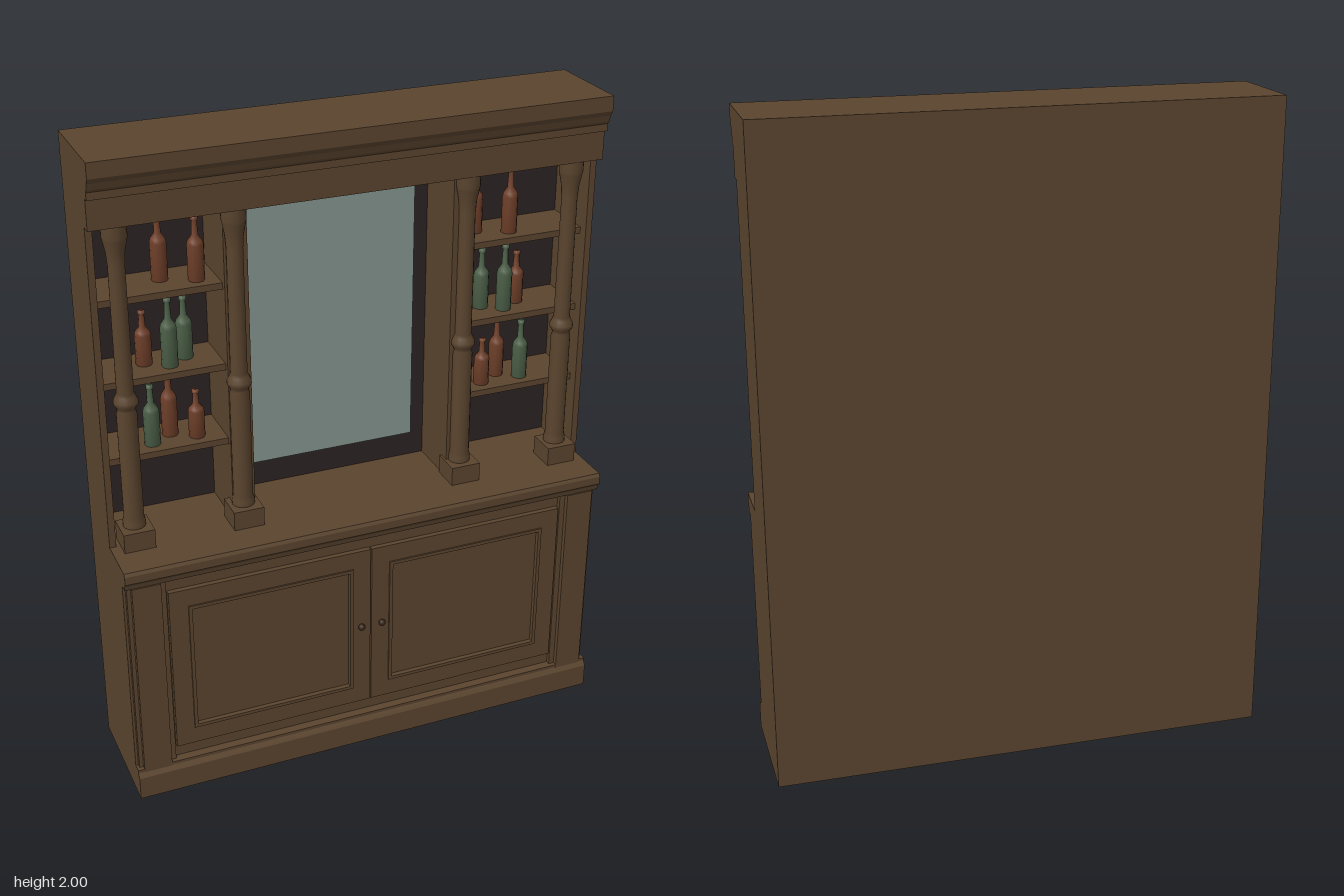
import * as THREE from 'three';

const mat = (name, color) => {
  const m = new THREE.MeshStandardMaterial({ color });
  m.name = name;
  return m;
};

export function createModel() {
  const wood = mat('wood', 0x5a442e);
  const darkBack = mat('dark backing', 0x2c2223);
  const glass = mat('mirror glass', 0x84948f);
  const amber = mat('amber glass', 0x70402a);
  const green = mat('green glass', 0x4c6048);
  const knobMat = mat('knob', 0x38261a);

  const model = new THREE.Group();
  model.name = 'backBarCabinet';
  const W = 1.54, BACK = -0.19;

  const add = (name, geometry, material, parent = model) => {
    const mesh = new THREE.Mesh(geometry, material);
    mesh.name = name;
    parent.add(mesh);
    return mesh;
  };
  // Box given by its limits on each axis
  const box = (name, [x0, x1], [y0, y1], [z0, z1], material = wood, parent = model) => {
    const g = new THREE.BoxGeometry(x1 - x0, y1 - y0, z1 - z0);
    g.translate((x0 + x1) / 2, (y0 + y1) / 2, (z0 + z1) / 2);
    return add(name, g, material, parent);
  };
  // Moulding: a (z, y) profile run across the full width
  const moulding = (name, points) => {
    const shape = new THREE.Shape(points.map(([z, y]) => new THREE.Vector2(z, y)));
    const g = new THREE.ExtrudeGeometry(shape, { depth: W, bevelEnabled: false });
    g.rotateY(-Math.PI / 2).translate(W / 2, 0, 0);
    return add(name, g, wood);
  };
  // Rectangular frame with an opening
  const frame = (name, [x0, x1], [y0, y1], border, z0, z1, material, parent) => {
    const rect = (Type, d) => new Type([
      new THREE.Vector2(x0 + d, y0 + d), new THREE.Vector2(x1 - d, y0 + d),
      new THREE.Vector2(x1 - d, y1 - d), new THREE.Vector2(x0 + d, y1 - d)]);
    const shape = rect(THREE.Shape, 0);
    shape.holes.push(rect(THREE.Path, border));
    const g = new THREE.ExtrudeGeometry(shape, { depth: z1 - z0, bevelEnabled: false });
    return add(name, g.translate(0, 0, z0), material, parent);
  };

  // Plinth, counter and cornice
  moulding('plinth', [[BACK, 0], [0.19, 0], [0.19, 0.075], [0.18, 0.09], [0.18, 0.1], [BACK, 0.1]]);
  moulding('counter', [[BACK, 0.75], [0.178, 0.75], [0.182, 0.765], [0.19, 0.775],
    [0.19, 0.8], [0.184, 0.81], [BACK, 0.81]]);
  moulding('cornice', [[BACK, 1.8], [0.065, 1.8], [0.065, 1.89], [0.08, 1.89], [0.08, 1.912],
    [0.086, 1.92], [0.093, 1.94], [0.103, 1.955], [0.103, 2], [BACK, 2]]);

  // Lower cabinet and its doors
  box('cabinetBody', [-0.77, 0.77], [0.1, 0.75], [BACK, 0.152]);
  for (const s of [-1, 1]) {
    const door = new THREE.Group();
    door.name = s < 0 ? 'rightDoor' : 'leftDoor';
    model.add(door);
    const span = (a, b) => (s > 0 ? [a, b] : [-b, -a]);
    frame('doorFrame', span(0.002, 0.64), [0.145, 0.702], 0.06, 0.152, 0.168, wood, door);
    frame('doorMoulding', span(0.06, 0.582), [0.203, 0.644], 0.011, 0.152, 0.173, wood, door);
    box('doorPanel', span(0.07, 0.572), [0.213, 0.634], [0.15, 0.158], wood, door);
    const knob = add('doorKnob', new THREE.SphereGeometry(0.011, 12, 8), knobMat, door);
    knob.position.set(s * 0.034, 0.432, 0.177);

    // Corner pilaster with stepped edges
    box('pilasterBacking', span(0.645, 0.762), [0.1, 0.75], [0.15, 0.166]);
    box('pilaster', span(0.663, 0.75), [0.09, 0.75], [0.15, 0.182]);
  }

  // Upper case: back, sides, dividers and mirror
  box('backPanel', [-0.77, 0.77], [0.81, 1.8], [BACK, -0.17]);
  box('backLining', [-0.75, 0.75], [0.81, 1.8], [-0.17, -0.162], darkBack);
  box('mirror', [-0.27, 0.27], [0.89, 1.73], [-0.162, -0.155], glass);

  // Turned column profile (radius, height)
  const columnProfile = [[0.034, 0.87], [0.034, 0.885], [0.03, 0.9], [0.03, 1.235], [0.026, 1.245],
    [0.029, 1.255], [0.036, 1.265], [0.036, 1.275], [0.029, 1.29], [0.025, 1.3], [0.024, 1.68],
    [0.027, 1.72], [0.034, 1.755], [0.036, 1.765], [0.036, 1.8]]
    .map(([r, y]) => new THREE.Vector2(r, y));
  const columnGeometry = new THREE.LatheGeometry(columnProfile, 16);

  const shelfTops = [1.08, 1.32, 1.57];
  for (const s of [-1, 1]) {
    const span = (a, b) => (s > 0 ? [a, b] : [-b, -a]);
    box('sidePanel', span(0.75, 0.77), [0.81, 1.8], [BACK, 0.032]);
    box('divider', span(0.315, 0.385), [0.81, 1.8], [-0.17, 0.018]);
    for (const y of shelfTops) box('shelf', span(0.385, 0.75), [y - 0.02, y], [-0.163, 0]);
    for (const x of [0.355, 0.69]) {
      box('columnBase', span(x - 0.047, x + 0.047), [0.81, 0.87], [-0.015, 0.079]);
      add('column', columnGeometry, wood).position.set(s * x, 0, 0.026);
    }
  }

  // Bottles: [x, shelf, height, colour]
  const bottleProfile = [[0, 0], [0.024, 0], [0.024, 0.56], [0.021, 0.62], [0.01, 0.7],
    [0.008, 0.93], [0.011, 0.94], [0.011, 1], [0, 1]];
  const bottles = [
    [-0.54, 2, 0.2, amber], [-0.445, 2, 0.19, amber],
    [-0.6, 1, 0.165, amber], [-0.535, 1, 0.21, green], [-0.478, 1, 0.19, green],
    [-0.6, 0, 0.19, green], [-0.535, 0, 0.21, amber], [-0.465, 0, 0.15, amber],
    [0.437, 2, 0.19, amber], [0.533, 2, 0.2, amber],
    [0.468, 1, 0.19, green], [0.526, 1, 0.21, green], [0.586, 1, 0.165, amber],
    [0.46, 0, 0.15, amber], [0.53, 0, 0.19, amber], [0.592, 0, 0.19, green],
  ];
  bottles.forEach(([x, shelf, h, material], i) => {
    const points = bottleProfile.map(([r, y]) => new THREE.Vector2(r, y * h));
    const bottle = add('bottle', new THREE.LatheGeometry(points, 10), material);
    bottle.position.set(x, shelfTops[shelf], -0.07 + (i % 2 ? 0.02 : -0.02));
  });

  return model;
}
